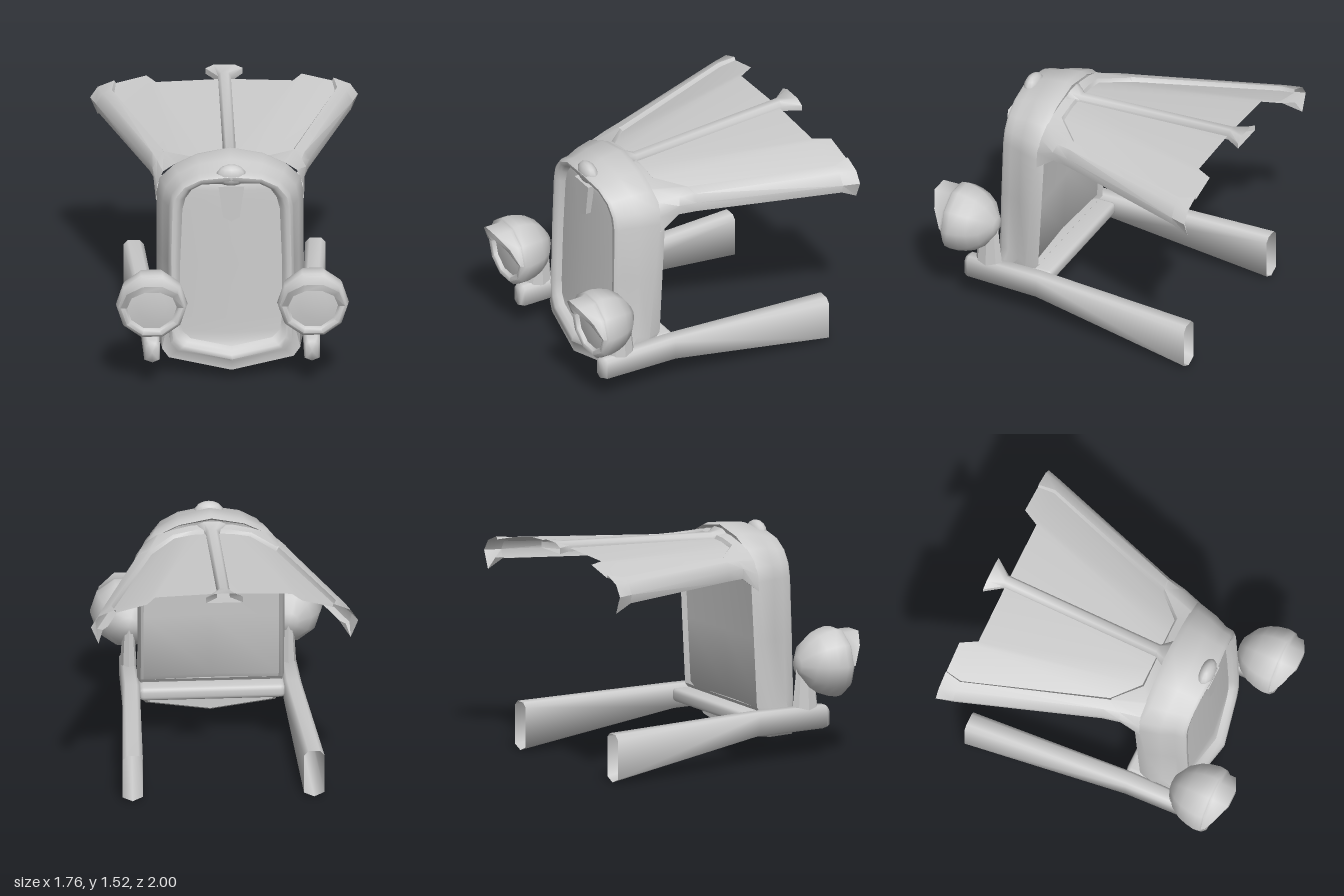
import * as THREE from 'three';
import { toCreasedNormals } from 'three/addons/utils/BufferGeometryUtils.js';
import { RoundedBoxGeometry } from 'three/addons/geometries/RoundedBoxGeometry.js';

const mat = new THREE.MeshStandardMaterial({ color: 0xcccccc, side: THREE.DoubleSide });

function add(parent, geo, name, crease = 0.7) {
  const mesh = new THREE.Mesh(toCreasedNormals(geo, crease), mat);
  mesh.name = name;
  parent.add(mesh);
  return mesh;
}

// Skin over rows of [x, y, z] points with equal counts
function loft(rows, closed = false) {
  const n = rows[0].length, index = [];
  for (let r = 0; r < rows.length - 1; r++) {
    for (let i = 0; i < (closed ? n : n - 1); i++) {
      const j = (i + 1) % n, a = r * n, b = a + n;
      index.push(a + i, a + j, b + j, a + i, b + j, b + i);
    }
  }
  const geo = new THREE.BufferGeometry();
  geo.setAttribute('position', new THREE.Float32BufferAttribute(rows.flat(2), 3));
  geo.setIndex(index);
  geo.computeVertexNormals();
  return geo;
}

const flip = ([x, y, z]) => [-x, y, z];
const mirrorLoop = half => [...half, ...half.slice(1, -1).reverse().map(flip)];
const mirrorStrip = half => [...half.slice(1).reverse().map(flip), ...half];

// Half outlines of the radiator shell, bottom centre to top centre
const outer = [[0, .08], [.41, .14], [.455, .2], [.465, .35], [.465, .8], [.465, 1.2], [.445, 1.3], [.36, 1.4], [.21, 1.475], [0, 1.52]];
const inner = [[0, .23], [.27, .27], [.32, .32], [.335, .42], [.335, .8], [.32, 1.18], [.3, 1.26], [.26, 1.32], [.19, 1.36], [0, 1.37]];
const frontZ = (x, y) => .68 - .055 * y - (.09 - .035 * y) * x / .46;

function backZ(y) {
  if (y < .3) return .4;
  return y > 1.35 ? .285 : .3 - .05 * (y - .3);
}

function buildRadiator(parent) {
  // t blends outer to inner; the apron below keeps its own blend
  const ring = (t, zOf, sx = 1, apronT = t) => outer.map(([x, y], i) => {
    const k = i < 3 ? apronT : t;
    const px = (x + (inner[i][0] - x) * k) * sx, py = y + (inner[i][1] - y) * k;
    return [px, py, zOf(px, py, y)];
  });
  const halves = [
    ring(.25, (x, y, oy) => backZ(oy) + .03, 1.03),
    ring(.1, (x, y, oy) => backZ(oy), 1.03),
    ring(0, (x, y, oy) => backZ(oy) + (oy < .3 ? .02 : .1 - .04 * oy), 1.04),
    ring(.12, (x, y, oy) => frontZ(x, y) - (oy < .25 ? .02 : .13), 1, 0),
    ring(.38, (x, y, oy) => frontZ(x, y) - (oy < .25 ? 0 : .045), 1, 0),
    ring(.42, (x, y) => frontZ(x, y) + .005, 1, .4),
    ring(.54, (x, y) => frontZ(x, y) + .022),
    ring(.72, (x, y) => frontZ(x, y) + .018),
    ring(.88, (x, y) => frontZ(x, y) - .005),
    ring(1, (x, y) => frontZ(x, y) - .035),
  ];
  add(parent, loft(halves.map(mirrorLoop), true), 'radiatorShell', .85);

  // Panels span the loop from side to side with a centre ridge
  const span = (half, bulge) => loft(half.map(([x, y, z]) => [[-x, y, z], [0, y, z + bulge * x], [x, y, z]]));
  add(parent, span(halves[9], .12), 'grille');
  add(parent, span(halves[0].slice(2), .05), 'firewall');
  add(parent, span(halves[1].slice(0, 4), 0), 'apronBack');

  // Badge plate hanging from the top of the grille
  const s = new THREE.Shape([[-.085, 1.37], [-.055, 1.15], [0, 1.12], [.055, 1.15], [.085, 1.37]].map(p => new THREE.Vector2(...p)));
  const plate = new THREE.ExtrudeGeometry(s, { depth: .045, bevelEnabled: false });
  plate.translate(0, 0, .572);
  add(parent, plate, 'badgePlate');
  const crest = add(parent, new THREE.SphereGeometry(1, 12, 8), 'shellCrest');
  crest.scale.set(.1, .075, .055);
  crest.position.set(0, 1.43, .568);

  const bar = add(parent, new RoundedBoxGeometry(.96, .09, .2, 2, .03), 'crossMember');
  bar.position.set(0, .285, .3);
}

function buildHood(parent) {
  // Half sections: four panel points, rim inner and outer, flange middle and bottom, lip
  const sections = [
    [[0, 1.465, .29], [.14, 1.455, .29], [.27, 1.425, .29], [.35, 1.4, .29], [.36, 1.395, .29], [.44, 1.34, .29], [.478, 1.25, .3], [.487, 1.14, .3], [.43, 1.15, .3]],
    [[0, 1.45, .23], [.13, 1.445, .23], [.26, 1.42, .23], [.415, 1.385, .07], [.43, 1.385, .07], [.475, 1.36, .15], [.505, 1.31, .17], [.495, 1.24, .17], [.44, 1.25, .17]],
    [[0, 1.425, .22], [.13, 1.42, .22], [.25, 1.4, .215], [.41, 1.36, .055], [.43, 1.385, .055], [.5, 1.365, .05], [.53, 1.31, .05], [.52, 1.24, .05], [.46, 1.25, .05]],
    [[0, 1.48, -.88], [.45, 1.463, -.88], [.485, 1.46, -.88], [.725, 1.385, -.88], [.74, 1.41, -.88], [.8, 1.385, -.88], [.845, 1.31, -.88], [.83, 1.25, -.88], [.76, 1.265, -.88]],
    [[0, 1.48, -.88], [.45, 1.463, -.88], [.51, 1.462, -.99], [.71, 1.41, -.99], [.72, 1.43, -.99], [.83, 1.385, -.99], [.88, 1.31, -.99], [.83, 1.19, -.99], [.8, 1.27, -.95]],
  ];
  add(parent, loft(sections.map(mirrorStrip)), 'hood', .75);

  // Central hinge with flared ends
  const spine = [[.28, .092, 1.44, 1.485], [.21, .042, 1.41, 1.46], [-.89, .042, 1.455, 1.52], [-1, .122, 1.465, 1.53]];
  add(parent, loft(spine.map(([z, w, y0, y1]) => [
    [-w, y0, z], [-w, y0 + (y1 - y0) * .6, z], [-w * .55, y1, z], [w * .55, y1, z], [w, y0 + (y1 - y0) * .6, z], [w, y0, z],
  ]), true), 'hoodHinge', 1);
}

function buildRail(parent, side) {
  const rail = (z, x0, x1, y0, y1, c) => {
    const m = (x0 + x1) / 2;
    return [[x0 + c, y1], [x1 - c, y1], [x1, y1 - c], [x1, y0 + c], [m, y0], [x0, y0 + c], [x0, y1 - c]]
      .map(([x, y]) => [x * side, y, z]);
  };
  add(parent, loft([
    rail(.79, .525, .525, .26, .26, 0),
    rail(.79, .485, .565, .19, .325, .02),
    rail(.765, .475, .577, .18, .342, .02),
    rail(.25, .475, .59, .178, .347, .02),
    rail(-.88, .53, .665, .005, .33, .03),
  ], true), side > 0 ? 'leftFrameRail' : 'rightFrameRail', 1.25);
}

function buildHeadlight(parent, side) {
  const lamp = new THREE.Group();
  lamp.name = side > 0 ? 'leftHeadlight' : 'rightHeadlight';
  lamp.position.set(.53 * side, .625, 0);
  parent.add(lamp);

  const lathe = pts => new THREE.LatheGeometry(pts.map(p => new THREE.Vector2(...p)), 10).rotateX(Math.PI / 2).rotateZ(Math.PI / 10);
  add(lamp, lathe([[0, .557], [.06, .568], [.155, .633], [.202, .7], [.224, .76], [.236, .82], [.23, .86], [.205, .885], [.178, .88], [.165, .85]]), 'lampShell', 1);
  add(lamp, lathe([[.168, .855], [.1, .865], [0, .87]]), 'lens');

  // Peak over the upper half of the lens
  const tips = [.89, .945, .995, .995, .945, .89];
  const row = (r, z) => tips.map((tip, k) => {
    const a = k * Math.PI / 5;
    return [Math.cos(a) * r, Math.sin(a) * r, z ?? tip];
  });
  add(lamp, loft([row(.228, .86), row(.208, .885), row(.208), row(.165), row(.165, .86)]), 'lampPeak', .9);

  const stalk = add(lamp, new THREE.CylinderGeometry(.035, .055, .32, 8), 'lampStalk');
  stalk.scale.z = 1.75;
  stalk.position.set(-.005 * side, -.145, .628);
}

export function createModel() {
  const model = new THREE.Group();
  model.name = 'vintageCarFront';
  buildRadiator(model);
  buildHood(model);
  for (const side of [1, -1]) {
    buildRail(model, side);
    buildHeadlight(model, side);
  }
  return model;
}
